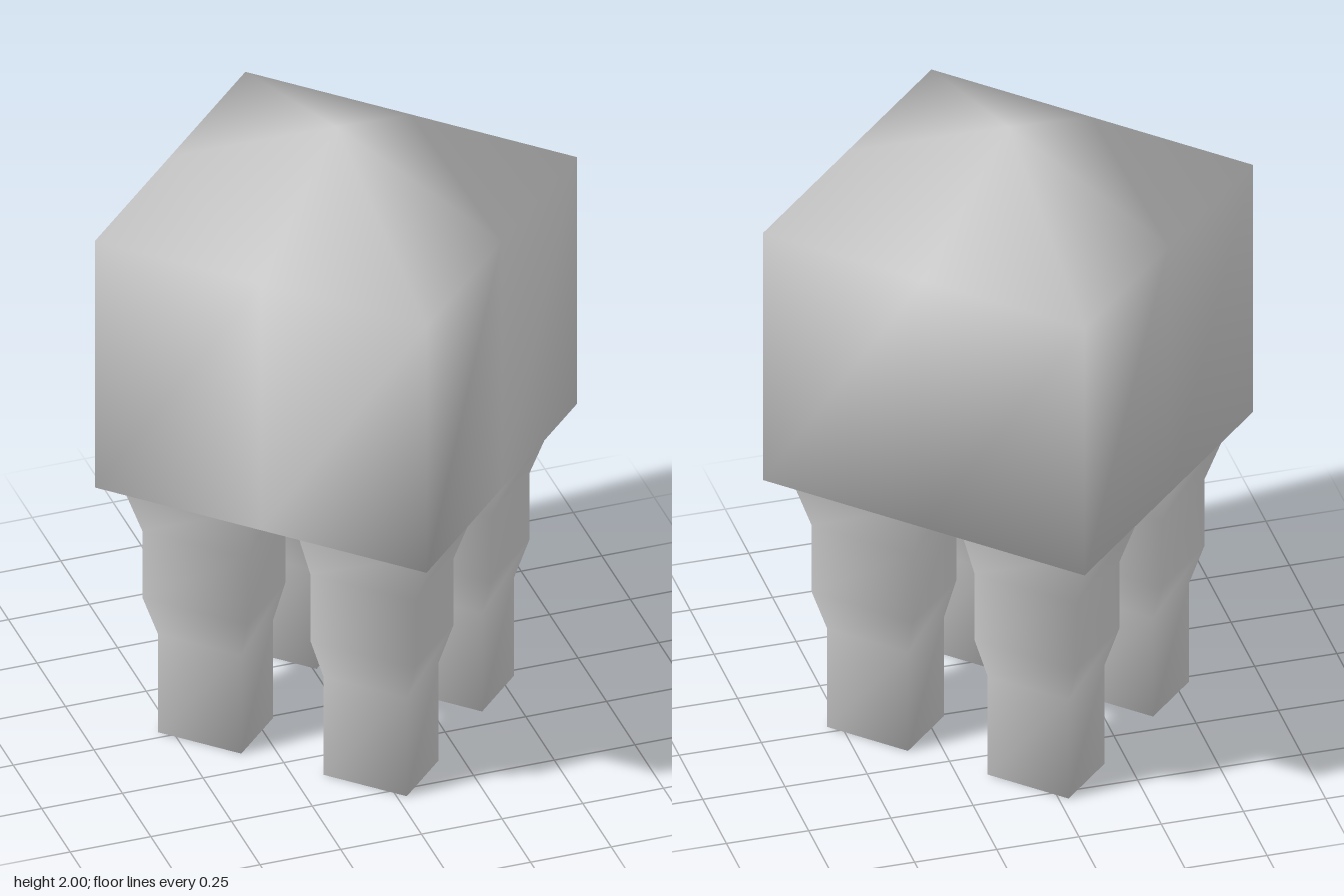
import * as THREE from 'three';

const grey = new THREE.MeshStandardMaterial({ color: 0xcccccc });

// Outlines of a unit square, counter-clockwise from above
const SQUARE = [[1, 1], [1, -1], [-1, -1], [-1, 1]];
const SQUARE_WITH_MIDS = [[1, 1], [1, 0], [1, -1], [0, -1], [-1, -1], [-1, 0], [-1, 1], [0, 1]];

// Walls and floor through levels [y, centreX, centreZ, halfX, halfZ], bottom to top
function loft(outline, levels) {
  const n = outline.length;
  const positions = [];
  const index = [];
  for (const [y, cx, cz, hx, hz] of levels) {
    for (const [x, z] of outline) positions.push(cx + x * hx, y, cz + z * hz);
  }
  for (let l = 0; l < levels.length - 1; l++) {
    for (let i = 0; i < n; i++) {
      const a = l * n + i;
      const b = l * n + ((i + 1) % n);
      index.push(a, b, b + n, a, b + n, a + n);
    }
  }
  for (let i = 1; i < n - 1; i++) index.push(0, i + 1, i);
  return { positions, index };
}

function smoothMesh({ positions, index }, name) {
  const geometry = new THREE.BufferGeometry();
  geometry.setAttribute('position', new THREE.Float32BufferAttribute(positions, 3));
  geometry.setIndex(index);
  geometry.computeVertexNormals();
  const mesh = new THREE.Mesh(geometry, grey);
  mesh.name = name;
  return mesh;
}

// Block whose peaked top runs out to two opposite corners; the other two stay flat
function makeBody() {
  const data = loft(SQUARE_WITH_MIDS, [[0.895, 0, 0, 0.537, 0.509], [1.75, 0, 0, 0.537, 0.509]]);
  const apex = data.positions.length / 3;
  data.positions.push(0, 2, 0);
  for (let i = 0; i < 8; i += 2) {
    const corner = 8 + i;
    const before = 8 + ((i + 7) % 8);
    const after = 8 + i + 1;
    if (i % 4 === 0) data.index.push(apex, before, corner, apex, corner, after);
    else data.index.push(before, corner, after, apex, before, after);
  }
  return smoothMesh(data, 'body');
}

// Stepped leg, flaring towards the body
function makeLeg(sx, sz, name) {
  const levels = [
    [0, 0.268, 0.255, 0.135, 0.108],
    [0.34, 0.268, 0.255, 0.135, 0.108],
    [0.47, 0.272, 0.257, 0.17, 0.13],
    [0.7, 0.272, 0.257, 0.17, 0.13],
    [0.895, 0.285, 0.262, 0.225, 0.155],
  ].map(([y, cx, cz, hx, hz]) => [y, sx * cx, sz * cz, hx, hz]);
  return smoothMesh(loft(SQUARE, levels), name);
}

export function createModel() {
  const model = new THREE.Group();
  model.name = 'leggedBlock';
  // Everything stands diagonally to the front
  const turned = new THREE.Group();
  turned.name = 'blockAndLegs';
  turned.rotation.y = -Math.PI / 4;
  turned.add(makeBody());
  const names = ['frontLeg', 'leftLeg', 'backLeg', 'rightLeg'];
  SQUARE.forEach(([sx, sz], i) => turned.add(makeLeg(sx, sz, names[i])));
  model.add(turned);
  return model;
}
